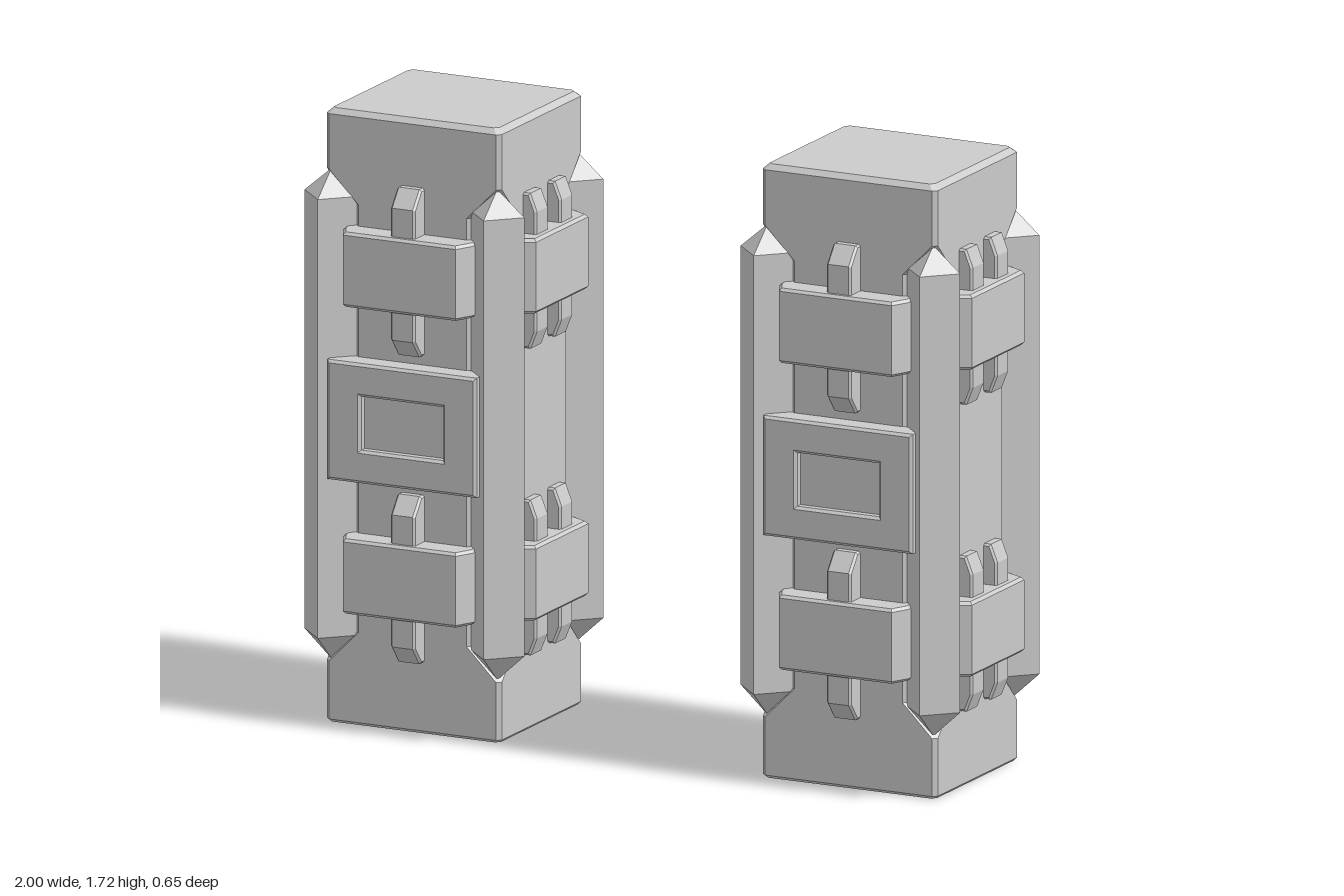
import * as THREE from 'three';

const material = new THREE.MeshStandardMaterial({ color: 0xcccccc, flatShading: true });

function mesh(name, geometry, x = 0, y = 0, z = 0) {
  const m = new THREE.Mesh(geometry, material);
  m.name = name;
  m.position.set(x, y, z);
  return m;
}

const shapeOf = (pts) => new THREE.Shape(pts.map(([x, y]) => new THREE.Vector2(x, y)));

// Extrusion centred on z, with a small bevel kept inside the outline and depth
function extrude(shape, depth, bevel) {
  return new THREE.ExtrudeGeometry(shape, {
    depth: depth - 2 * bevel, bevelEnabled: true, bevelSegments: 1,
    bevelSize: bevel, bevelOffset: -bevel, bevelThickness: bevel,
  }).translate(0, 0, bevel - depth / 2);
}

// Column core: rectangular sections with corners cut by c, joined bottom to top
function coreGeometry() {
  const sections = [ // y, half width, half depth, corner cut
    [0, 0.26, 0.24, 0.012], [0.008, 0.267, 0.247, 0.012],
    [0.17, 0.267, 0.247, 0.012], [0.26, 0.267, 0.247, 0.102],
    [1.46, 0.267, 0.247, 0.102], [1.55, 0.267, 0.247, 0.012],
    [1.705, 0.267, 0.247, 0.012], [1.72, 0.252, 0.232, 0.012],
  ];
  const rings = sections.map(([y, w, d, c]) => [
    [w, -d + c], [w, d - c], [w - c, d], [-w + c, d],
    [-w, d - c], [-w, -d + c], [-w + c, -d], [w - c, -d],
  ].map(([x, z]) => [x, y, z]));
  const pos = [];
  const tri = (a, b, c) => pos.push(...a, ...b, ...c);
  for (let i = 0; i < rings.length - 1; i++) {
    for (let j = 0; j < 8; j++) {
      const k = (j + 1) % 8;
      tri(rings[i][j], rings[i + 1][j], rings[i][k]);
      tri(rings[i][k], rings[i + 1][j], rings[i + 1][k]);
    }
  }
  const bottom = rings[0], top = rings[rings.length - 1];
  for (let j = 1; j < 7; j++) {
    tri(bottom[0], bottom[j], bottom[j + 1]);
    tri(top[0], top[j + 1], top[j]);
  }
  const g = new THREE.BufferGeometry();
  g.setAttribute('position', new THREE.Float32BufferAttribute(pos, 3));
  g.computeVertexNormals();
  return g;
}

// Square post turned 45 degrees, pointed at both ends
function postGeometry() {
  const profile = [[0, 0.175], [0.082, 0.25], [0.082, 1.48], [0, 1.55]];
  return new THREE.LatheGeometry(profile.map(([r, y]) => new THREE.Vector2(r, y)), 4);
}

// Strap with sides that splay towards the column
function strapGeometry(half, flat, out) {
  const s = shapeOf([[-half, 0.2], [half, 0.2], [half, 0.272], [flat, out], [-flat, out], [-half, 0.272]]);
  return extrude(s, 0.21, 0.008).rotateX(Math.PI / 2);
}

// Peg with sloping ends, running behind a strap
function pegGeometry(surface, out, half) {
  const s = shapeOf([
    [0.2, -half], [surface + 0.02, -half], [out, -half + 0.05],
    [out, half - 0.05], [surface + 0.02, half], [0.2, half],
  ]);
  return extrude(s, 0.074, 0.006).rotateY(-Math.PI / 2);
}

// Panel with a rectangular window
function panelGeometry() {
  const w = 0.228, h = 0.168, a = 0.125, b = 0.075;
  const s = shapeOf([[-w, -h], [w, -h], [w, h], [-w, h]]);
  s.holes.push(shapeOf([[-a, -b], [-a, b], [a, b], [a, -b]]));
  return extrude(s, 0.08, 0.008);
}

// One face of the column, looking along +z
function createFace(o) {
  const face = new THREE.Group();
  face.name = o.name;
  const strap = strapGeometry(o.half, o.flat, o.out);
  const peg = pegGeometry(o.surface, 0.307, o.pegHalf);
  for (const y of [0.435, 1.295]) {
    face.add(mesh('strap', strap, 0, y, 0));
    for (const x of o.pegs) face.add(mesh('peg', peg, x, y, 0));
  }
  if (o.panel) {
    face.add(mesh('panel', panelGeometry(), 0, 0.866, 0.275));
    face.add(mesh('panelRecess', new THREE.BoxGeometry(0.28, 0.18, 0.06), 0, 0.866, 0.257));
  }
  return face;
}

function createColumn() {
  const column = new THREE.Group();
  column.add(mesh('core', coreGeometry()));
  const post = postGeometry();
  for (const x of [-0.253, 0.253]) {
    for (const z of [-0.235, 0.235]) column.add(mesh('cornerPost', post, x, 0, z));
  }
  const broad = { surface: 0.247, half: 0.198, flat: 0.172, out: 0.325, pegs: [0], pegHalf: 0.235, panel: true };
  const side = { surface: 0.267, half: 0.185, flat: 0.155, out: 0.33, pegs: [-0.073, 0.073], pegHalf: 0.218 };
  ['frontFace', 'leftFace', 'backFace', 'rightFace'].forEach((name, i) => {
    const face = createFace({ name, ...(i % 2 ? side : broad) });
    face.rotation.y = i * Math.PI / 2;
    column.add(face);
  });
  return column;
}

export function createModel() {
  const model = new THREE.Group();
  model.name = 'columnPair';
  for (const [name, x] of [['leftColumn', 0.665], ['rightColumn', -0.665]]) {
    const column = createColumn();
    column.name = name;
    column.position.x = x;
    model.add(column);
  }
  return model;
}
